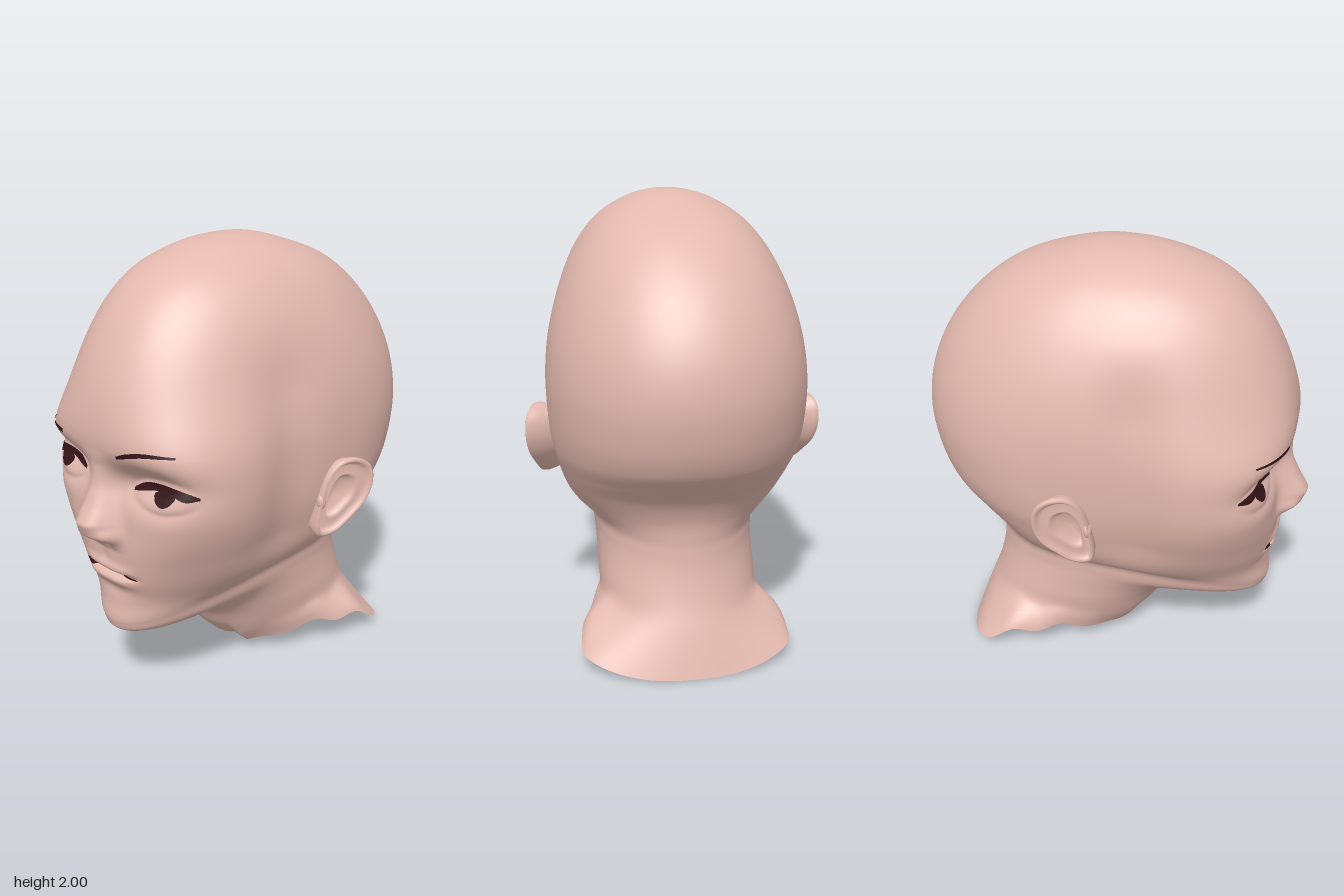
import * as THREE from 'three';

const skin = new THREE.MeshStandardMaterial({ color: 0xe3b9af, side: THREE.DoubleSide });
skin.name = 'skin';
const dark = new THREE.MeshStandardMaterial({ color: 0x341418, side: THREE.DoubleSide });
dark.name = 'darkBrown';

// Head rings from crown to neck edge:
// front y, front z, back y, back z, half width, z of widest point
const RINGS = [
  [2.0, 0.001, 2.0, -0.001, 0.001, 0],
  [1.994, 0.12, 1.994, -0.11, 0.08, 0],
  [1.96, 0.28, 1.96, -0.245, 0.19, -0.02],
  [1.88, 0.465, 1.88, -0.46, 0.315, -0.05],
  [1.76, 0.6, 1.76, -0.625, 0.412, -0.09],
  [1.6, 0.702, 1.6, -0.757, 0.49, -0.13],
  [1.42, 0.77, 1.42, -0.84, 0.542, -0.17],
  [1.24, 0.793, 1.24, -0.868, 0.563, -0.2],
  [1.06, 0.75, 1.07, -0.845, 0.56, -0.2],
  [0.91, 0.745, 0.94, -0.793, 0.545, -0.18],
  [0.77, 0.75, 0.85, -0.715, 0.518, -0.15],
  [0.63, 0.742, 0.76, -0.633, 0.482, -0.12],
  [0.5, 0.722, 0.66, -0.585, 0.422, -0.1],
  [0.39, 0.728, 0.57, -0.573, 0.367, -0.1],
  [0.335, 0.67, 0.51, -0.574, 0.355, -0.12],
  [0.325, 0.39, 0.43, -0.583, 0.352, -0.15],
  [0.27, 0.25, 0.33, -0.607, 0.352, -0.22],
  [0.16, 0.175, 0.19, -0.65, 0.362, -0.32],
  [0.03, 0.09, 0.004, -0.722, 0.46, -0.53],
];

const cubic = (a, b, c, d, t) =>
  0.5 * (2 * b + (c - a) * t + (2 * a - 5 * b + 4 * c - d) * t * t + (3 * b - a - 3 * c + d) * t ** 3);
const bell = (v, s) => Math.exp(-((v / s) ** 2));
const step = THREE.MathUtils.smoothstep;

// Nose projection down the midline: y, height
const NOSE = [[0.765, 0], [0.8, 0.035], [0.84, 0.1], [0.9, 0.126], [0.97, 0.086], [1.05, 0.05], [1.15, 0.012], [1.22, 0]];
function noseHeight(y) {
  for (let i = 1; i < NOSE.length; i++) {
    const [y0, h0] = NOSE[i - 1], [y1, h1] = NOSE[i];
    if (y >= y0 && y <= y1) return h0 + (h1 - h0) * (y - y0) / (y1 - y0);
  }
  return 0;
}

// Forward relief of the face: nose, eye sockets, lids, lips
function faceRelief(x, y) {
  const ax = Math.abs(x);
  const noseWidth = THREE.MathUtils.lerp(0.095, 0.07, step(y, 0.85, 1.1));
  let d = noseHeight(y) * Math.exp(-((ax / noseWidth) ** 3));
  d += 0.025 * bell(ax - 0.09, 0.03) * bell(y - 0.845, 0.035);
  d -= 0.012 * bell(ax - 0.045, 0.02) * bell(y - 0.795, 0.015);
  // sockets and eyeballs
  d -= 0.098 * bell(ax - 0.27, 0.165) * bell(y - 1.09, 0.083);
  const q = ((ax - 0.3) / 0.15) ** 2 + ((y - 1.06) / 0.07) ** 2;
  d += 0.038 * Math.max(0, 1 - q);
  // lips and chin dip
  const mouth = 1 - step(ax, 0.06, 0.2);
  d -= 0.035 * mouth * bell(y - 0.645, 0.011);
  d += 0.013 * mouth * (bell(y - 0.675, 0.022) + bell(y - 0.61, 0.026));
  d -= 0.014 * bell(x, 0.14) * bell(y - 0.56, 0.04);
  d -= 0.006 * bell(x, 0.02) * bell(y - 0.72, 0.03);
  return d;
}

// Closed rings of points joined into one smooth skin
function loft(rings) {
  const n = rings[0].length, index = [];
  for (let i = 0; i < rings.length - 1; i++)
    for (let j = 0; j < n; j++) {
      const a = i * n + j, b = i * n + (j + 1) % n;
      index.push(a, a + n, b, b, a + n, b + n);
    }
  const g = new THREE.BufferGeometry();
  g.setAttribute('position', new THREE.Float32BufferAttribute(rings.flat(2), 3));
  g.setIndex(index);
  g.computeVertexNormals();
  return g;
}

function headRing([yF, zF, yB, zB, w, zc], edge) {
  const N = 200, ring = [];
  // the face is boxier than the skull, the neck edge more pointed
  const roundFront = 1.65 + 0.4 * step(yF, 0, 0.3) + 0.15 * step(yF, 0.4, 0.7) + 1.8 * bell(yF - 1.03, 0.27);
  for (let j = 0; j < N; j++) {
    const t = (j / N) * Math.PI * 2 - Math.PI;
    const a = t - 0.6 * Math.sin(t); // denser towards the face
    const s = Math.sin(a), c = Math.cos(a);
    const e = c > 0 ? roundFront : 2.1, depth = c > 0 ? zF - zc : zc - zB;
    const r = ((Math.abs(s) / w) ** e + (Math.abs(c) / depth) ** e) ** (-1 / e);
    let x = r * s, z = zc + r * c;
    const back = (zF - z) / (zF - zB);
    // the jaw line rises from chin to ear
    let y = yF + (yB - yF) * back + 0.32 * bell(yF - 0.36, 0.13) * back * (1 - back);
    // hollow in front of the ears
    x *= 1 - 0.07 * bell(z - 0.17, 0.16) * step(y, 0.5, 0.8) * (1 - step(y, 1.4, 1.75));
    if (y > 0.45 && y < 1.4) z += faceRelief(x, y) * step(z, 0.2, 0.45);
    // raised, ragged neck edge with a tab at the throat
    if (edge > 0) {
      const u = THREE.MathUtils.clamp((z + 0.72) / 0.8, 0, 1);
      y += edge * Math.sin(Math.PI * u) * (0.13 + 0.018 * Math.sin(u * 22));
      if (z > 0) y += 0.05 * edge ** 3 * (1 - step(Math.abs(x), 0.115, 0.15));
    }
    ring.push([x, y, z]);
  }
  return ring;
}

function headGeometry() {
  const rings = [], last = RINGS.length - 1;
  for (let i = 0; i < last; i++) {
    const sub = i >= 7 && i < 13 ? 17 : 8;
    const p = [Math.max(i - 1, 0), i, i + 1, Math.min(i + 2, last)].map(k => RINGS[k]);
    for (let k = 0; k < sub + (i === last - 1 ? 1 : 0); k++) {
      const t = k / sub;
      const row = p[1].map((_, m) => cubic(p[0][m], p[1][m], p[2][m], p[3][m], t));
      rings.push(headRing(row, step(i + t, last - 2, last)));
    }
  }
  return loft(rings);
}

// Ear: outline in (z, y), scaled inwards with a rim, groove and bowl
function earGeometry() {
  const outline = [[0.005, 0.745], [-0.06, 0.748], [-0.14, 0.815], [-0.2, 0.885], [-0.228, 0.97],
    [-0.215, 1.05], [-0.16, 1.087], [-0.09, 1.08], [-0.035, 1.02], [0.005, 0.86]];
  const curve = new THREE.CatmullRomCurve3(outline.map(([z, y]) => new THREE.Vector3(0, y, z)), true);
  const section = [[0.5, -0.15], [0.75, -0.11], [0.93, -0.05], [1, -0.012], [0.99, 0.006], [0.93, 0.012],
    [0.87, 0.004], [0.78, -0.014], [0.58, 0.004], [0.5, -0.012], [0.38, -0.028], [0.001, -0.032]];
  return loft(section.map(([s, h]) => curve.getPoints(60).slice(0, 60).map(p => {
    const z = -0.08 + (p.z + 0.08) * s, y = 0.93 + (p.y - 0.93) * s;
    return [0.55 + Math.max(-0.03, -z) * 0.45 + h, y, z];
  })));
}

export function createModel() {
  const group = new THREE.Group();
  const add = (name, geometry, material) => {
    const m = new THREE.Mesh(geometry, material);
    m.name = name;
    group.add(m);
    return m;
  };
  const head = add('headAndNeck', headGeometry(), skin);

  // Painted strokes laid on the face: points are x, y, half thickness
  const ray = new THREE.Raycaster();
  const faceZ = (x, y) => {
    ray.set(new THREE.Vector3(x, y, 2), new THREE.Vector3(0, 0, -1));
    return ray.intersectObject(head)[0].point.z;
  };
  const stroke = (name, points, side) => {
    const curve = new THREE.CatmullRomCurve3(points.map(p => new THREE.Vector3(...p)));
    const cols = 20, rows = 4;
    const g = new THREE.PlaneGeometry(1, 1, cols, rows), pos = g.attributes.position;
    for (let i = 0; i <= cols; i++) {
      const p = curve.getPoint(i / cols);
      for (let j = 0; j <= rows; j++) {
        const x = side * p.x, y = p.y + p.z * (1 - 2 * j / rows);
        pos.setXYZ(j * (cols + 1) + i, x, y, faceZ(x, y) + 0.005);
      }
    }
    if (side < 0) g.index.array.reverse();
    g.computeVertexNormals();
    add(name, g, dark);
  };

  for (const side of [1, -1]) {
    const name = side > 0 ? 'left' : 'right';
    add(name + 'Ear', earGeometry(), skin).scale.x = side;
    const tragus = add(name + 'EarTragus', new THREE.SphereGeometry(1, 16, 12), skin);
    tragus.scale.set(0.022, 0.035, 0.02);
    tragus.position.set(side * 0.545, 0.9, -0.015);
    stroke(name + 'Lashes', [[0.16, 1.065, 0.008], [0.21, 1.085, 0.017], [0.28, 1.098, 0.015],
      [0.35, 1.096, 0.015], [0.41, 1.08, 0.018], [0.45, 1.075, 0.005]], side);
    stroke(name + 'Iris', [[0.268, 1.067, 0.006], [0.285, 1.062, 0.022], [0.32, 1.06, 0.034],
      [0.35, 1.062, 0.024], [0.37, 1.07, 0.006]], side);
  }
  stroke('leftBrow', [[0.15, 1.217, 0.006], [0.2, 1.235, 0.01], [0.28, 1.253, 0.009], [0.39, 1.252, 0.004]], 1);
  stroke('rightBrow', [[0.21, 1.237, 0.011], [0.3, 1.237, 0.008], [0.41, 1.235, 0.004]], -1);
  stroke('leftMouthLine', [[0.07, 0.648, 0.004], [0.11, 0.646, 0.007], [0.17, 0.644, 0.003]], 1);
  stroke('rightMouthLine', [[0.09, 0.642, 0.004], [0.12, 0.64, 0.01], [0.17, 0.642, 0.003]], -1);
  return group;
}
